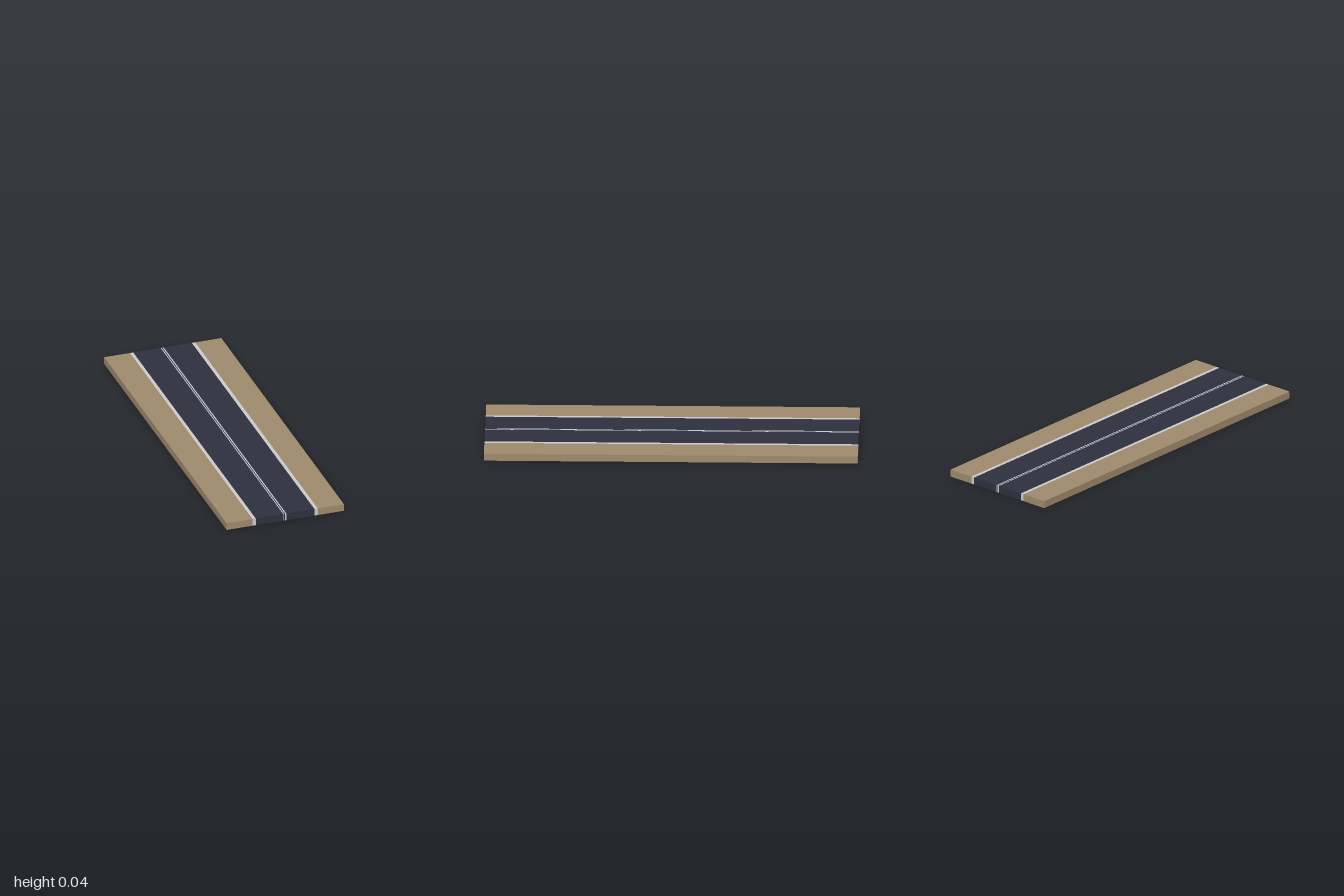
import * as THREE from 'three';
import { mergeGeometries } from 'three/addons/utils/BufferGeometryUtils.js';

const HEIGHT = 0.04, LENGTH = 2;

// One lengthwise strip: top, both ends, and optionally an outer side wall (-1 or +1); open below
function stripGeometry(x0, x1, side) {
  const w = x1 - x0, cx = (x0 + x1) / 2;
  const faces = [
    new THREE.PlaneGeometry(w, LENGTH).rotateX(-Math.PI / 2).translate(cx, HEIGHT, 0),
    new THREE.PlaneGeometry(w, HEIGHT).translate(cx, HEIGHT / 2, LENGTH / 2),
    new THREE.PlaneGeometry(w, HEIGHT).rotateY(Math.PI).translate(cx, HEIGHT / 2, -LENGTH / 2),
  ];
  if (side) {
    faces.push(new THREE.PlaneGeometry(LENGTH, HEIGHT)
      .rotateY(side * Math.PI / 2).translate(side < 0 ? x0 : x1, HEIGHT / 2, 0));
  }
  return mergeGeometries(faces);
}

export function createModel() {
  const group = new THREE.Group();
  group.name = 'roadSegment';
  const material = (color) => new THREE.MeshStandardMaterial({ color, side: THREE.DoubleSide });
  const earth = material(0xa08b6d), asphalt = material(0x2e303e), paint = material(0xcccccc);

  // Strips from the road's right edge to its left: name, start x, end x, material, outer wall
  const strips = [
    ['rightVerge', -0.332, -0.185, earth, -1],
    ['rightEdgeLine', -0.185, -0.167, paint, 0],
    ['rightLane', -0.167, -0.0115, asphalt, 0],
    ['rightCentreLine', -0.0115, -0.006, paint, 0],
    ['centreGap', -0.006, -0.001, asphalt, 0],
    ['leftCentreLine', -0.001, 0.006, paint, 0],
    ['leftLane', 0.006, 0.165, asphalt, 0],
    ['leftEdgeLine', 0.165, 0.184, paint, 0],
    ['leftVerge', 0.184, 0.332, earth, 1],
  ];
  for (const [name, x0, x1, mat, side] of strips) {
    const mesh = new THREE.Mesh(stripGeometry(x0, x1, side), mat);
    mesh.name = name;
    group.add(mesh);
  }
  return group;
}
